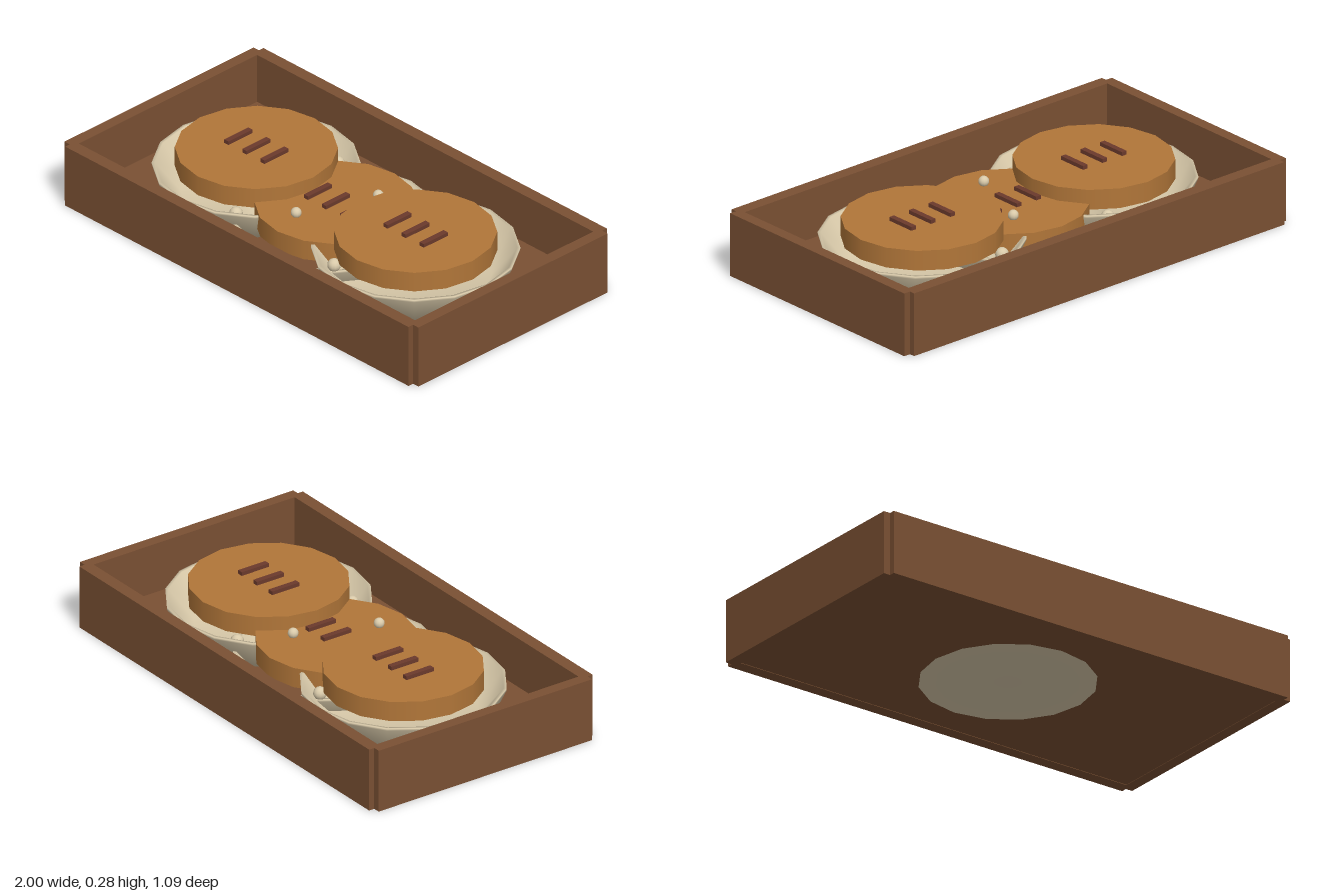
import * as THREE from 'three';

const mat = (name, color, side = THREE.FrontSide) => {
  const m = new THREE.MeshStandardMaterial({ color, side });
  m.name = name;
  return m;
};

export function createModel() {
  const wood = mat('tray brown', 0x7a5033);
  const crust = mat('golden brown', 0xb17639);
  const cream = mat('cream', 0xd9caaa, THREE.DoubleSide);
  const scorch = mat('dark red brown', 0x6b3a2c);
  const model = new THREE.Group();
  model.name = 'foodTray';

  const add = (parent, name, geometry, material, x, y, z) => {
    const mesh = new THREE.Mesh(geometry, material);
    mesh.name = name;
    mesh.position.set(x, y, z);
    parent.add(mesh);
    return mesh;
  };

  // Tray: floor and four walls that leave small notches at the corners
  const tray = new THREE.Group();
  tray.name = 'tray';
  model.add(tray);
  add(tray, 'trayFloor', new THREE.BoxGeometry(1.94, 0.053, 1.04), wood, 0, 0.0285, 0);
  for (const s of [-1, 1]) {
    add(tray, s > 0 ? 'frontWall' : 'backWall',
      new THREE.BoxGeometry(1.94, 0.27, 0.055), wood, 0, 0.135, s * 0.5175);
    add(tray, s > 0 ? 'leftWall' : 'rightWall',
      new THREE.BoxGeometry(0.05, 0.27, 1.04), wood, s * 0.975, 0.135, 0);
  }

  // Dish profile: flat base, flared outside, thin lip, sloping inside
  const profile = [[0, 0], [0.355, 0], [0.412, 0.12], [0.413, 0.13], [0.4, 0.13], [0.3, 0.006], [0, 0.006]]
    .map(([r, y]) => new THREE.Vector2(r, y));
  const dishGeo = new THREE.LatheGeometry(profile, 16);
  const cakeGeo = new THREE.CylinderGeometry(0.322, 0.322, 0.085, 16);
  const slotGeo = new THREE.BoxGeometry(0.024, 0.025, 0.132);

  // Three servings; the middle one sits lower
  for (const [side, x, y] of [['right', -0.45, 0.06], ['middle', 0, 0], ['left', 0.45, 0.06]]) {
    const serving = new THREE.Group();
    serving.name = side + 'Serving';
    serving.position.set(x, y, 0);
    model.add(serving);
    add(serving, 'dish', dishGeo, cream, 0, 0, 0);
    add(serving, 'cake', cakeGeo, crust, 0, 0.1595, 0);
    for (const i of [-1, 0, 1]) add(serving, 'scoreMark', slotGeo, scorch, i * 0.102, 0.2055, 0);
  }

  // Small beads: two on the middle cake, four tucked between the dishes
  const beadGeo = new THREE.SphereGeometry(0.022, 12, 8);
  add(model, 'bead', beadGeo, cream, 0.095, 0.218, -0.14);
  add(model, 'bead', beadGeo, cream, -0.035, 0.218, 0.185);
  for (const sx of [-1, 1]) for (const sz of [-1, 1]) {
    add(model, 'cornerBead', beadGeo, cream, sx * 0.277, 0.15, sz * 0.28).scale.setScalar(1.25);
  }

  return model;
}
